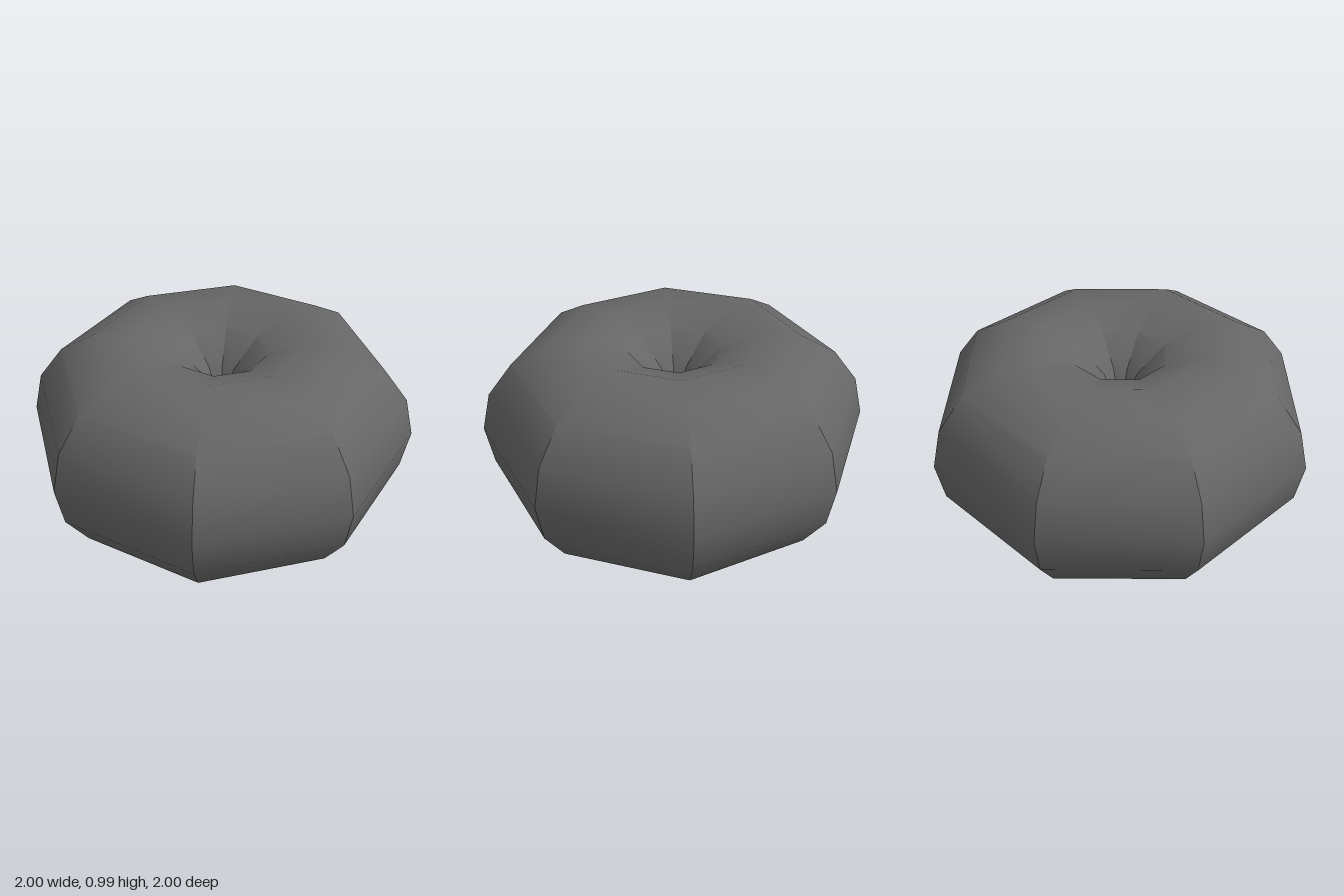
import * as THREE from 'three';
import { toCreasedNormals } from 'three/addons/utils/BufferGeometryUtils.js';

export function createModel() {
  const group = new THREE.Group();
  group.name = 'ring';

  // 15-sided tube section, turned one degree, almost closing the centre hole
  const sides = 15;
  const radius = 0.5;
  const profile = [];
  for (let i = 0; i <= sides; i++) {
    const a = THREE.MathUtils.degToRad(1) + ((i % sides) / sides) * Math.PI * 2;
    profile.push(new THREE.Vector2(0.5 + Math.cos(a) * radius, 0.5 + Math.sin(a) * radius));
  }

  // Eight segments around: smooth across the tube, creased between segments
  const geometry = toCreasedNormals(new THREE.LatheGeometry(profile, 8), Math.PI / 6);
  const ring = new THREE.Mesh(geometry, new THREE.MeshStandardMaterial({ color: 0x666666 }));
  ring.name = 'ringBody';
  group.add(ring);

  return group;
}
